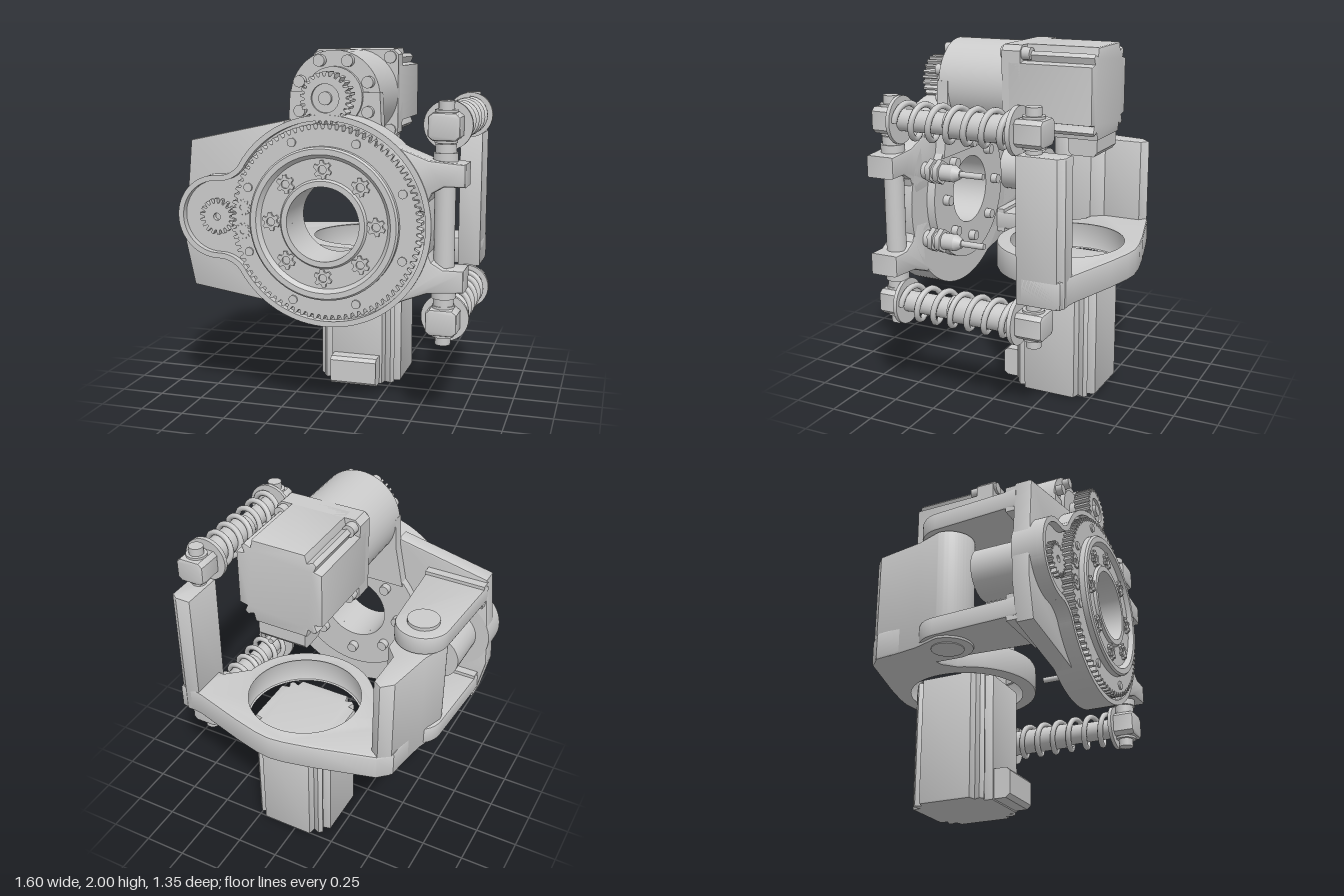
import * as THREE from 'three';
import { toCreasedNormals } from 'three/addons/utils/BufferGeometryUtils.js';

const CX = 0.05, CY = 1.10, RX = 0.67;      // ring axis and strut axis
const mat = new THREE.MeshStandardMaterial({ color: 0xcccccc, side: THREE.DoubleSide });

export function createModel() {
  const root = new THREE.Group();
  const add = (name, geo, x = 0, y = 0, z = 0, parent = root) => {
    const m = new THREE.Mesh(geo, mat);
    m.name = name;
    m.position.set(x, y, z);
    parent.add(m);
    return m;
  };
  const poly = pts => new THREE.Shape(pts.map(p => new THREE.Vector2(...p)));
  const bore = (shape, x, y, r) => {
    shape.holes.push(new THREE.Path().absarc(x, y, r, 0, Math.PI * 2, true));
    return shape;
  };
  // Extrusion along z from z0 to z1, with an optional bevel kept inside that depth
  const plate = (shape, z0, z1, b = 0) => {
    const g = new THREE.ExtrudeGeometry(shape, {
      depth: z1 - z0 - 2 * b, bevelEnabled: b > 0, bevelSize: b, bevelOffset: -b,
      bevelThickness: b, bevelSegments: 2, curveSegments: 40 });
    return toCreasedNormals(g.translate(0, 0, z0 + b), 0.6);
  };
  // Extrusion along y; the shape is drawn as (x, -z)
  const slab = (shape, y0, y1, b = 0) => plate(shape, y0, y1, b).rotateX(-Math.PI / 2);
  const cylY = (r, h, n = 28) => new THREE.CylinderGeometry(r, r, h, n);
  const cylZ = (r, z0, z1, n = 28) => cylY(r, z1 - z0, n).rotateX(Math.PI / 2).translate(0, 0, (z0 + z1) / 2);
  const box = (w, h, d) => new THREE.BoxGeometry(w, h, d);
  const gear = (r, teeth, depth, z0, z1, hole) => {
    const pts = [];
    for (let i = 0; i < teeth; i++)
      [[0, -depth], [0.3, -depth], [0.45, 0], [0.8, 0]].forEach(([f, d]) => {
        const a = (i + f) / teeth * Math.PI * 2;
        pts.push([(r + d) * Math.cos(a), (r + d) * Math.sin(a)]);
      });
    return plate(bore(poly(pts), 0, 0, hole), z0, z1);
  };
  const around = (n, r, a0, fn) => {
    for (let i = 0; i < n; i++) {
      const a = a0 + i / n * Math.PI * 2;
      fn(r * Math.cos(a), r * Math.sin(a), a);
    }
  };

  // Housing outline: large ring blended by fillets into a side lobe, inset by d
  const outline = d => {
    const R = 0.57 - d, r = 0.23 - d, f = 0.15 + d, lx = -0.57;
    const fx = -0.56, fy = 0.38;
    const a = Math.atan2(fy, fx - CX), b = Math.atan2(fy, fx - lx);
    const s = new THREE.Shape();
    s.absarc(CX, CY, R, -a, a, false);
    s.absarc(fx, CY + fy, f, a - Math.PI, b - Math.PI, true);
    s.absarc(lx, CY, r, b, Math.PI * 2 - b, false);
    s.absarc(fx, CY - fy, f, Math.PI - b, Math.PI - a, true);
    return s;
  };
  add('housing', plate(bore(outline(0), CX, CY, 0.2), 0.43, 0.57));
  const lip = outline(0);
  lip.holes.push(new THREE.Path(outline(0.03).getPoints(40)));
  add('housingRim', plate(lip, 0.57, 0.61));
  add('sidePlate', plate(poly([[-0.75, 1.51], [-0.79, 1.1], [-0.8, 0.93], [-0.75, 0.69], [-0.25, 0.615],
    [-0.25, 1.1], [-0.2, 1.63]].reverse()), 0.43, 0.53, 0.01));

  // Forked ears that hold the strut rod
  for (const s of [1, -1])
    add('ear', plate(poly([[0.32, 0.48], [0.47, 0.40], [0.6, 0.35], [0.79, 0.335], [0.79, 0.215], [0.68, 0.215],
      [0.62, 0.18], [0.58, 0.08], [0.35, 0.1]].map(([x, y]) => [x, CY + s * y])), 0.43, 0.6, 0.015));

  // Ring gear, bearing flange and bolts
  add('ringGear', gear(0.525, 84, 0.025, 0.56, 0.63, 0.3), CX, CY);
  const profile = [[0.2, 0.38], [0.41, 0.38], [0.41, 0.66], [0.4, 0.67], [0.37, 0.67], [0.35, 0.645],
    [0.24, 0.645], [0.23, 0.66], [0.2, 0.66], [0.2, 0.38]].map(p => new THREE.Vector2(...p));
  add('bearingFlange', toCreasedNormals(new THREE.LatheGeometry(profile, 72).rotateX(Math.PI / 2), 0.5), CX, CY);
  around(8, 0.29, 0, (x, y) => {
    add('flangeBolt', gear(0.05, 6, 0.015, 0.64, 0.66, 0.022), CX + x, CY + y);
    add('boltSocket', cylZ(0.022, 0.63, 0.65, 6), CX + x, CY + y);
    add('rearBolt', cylZ(0.03, 0.34, 0.39, 12), CX + x, CY + y);
  });
  around(8, 0.46, Math.PI / 8, (x, y) => add('rimScrew', cylZ(0.024, 0.6, 0.64, 14), CX + x, CY + y));

  // Encoder gears in the lobe and the sensor behind it
  add('lobeGear', gear(0.1, 18, 0.025, 0.56, 0.6, 0.02), -0.575, CY);
  for (const s of [1, -1]) add('idlerGear', gear(0.045, 12, 0.01, 0.56, 0.635, 0.015), -0.41, CY + s * 0.065);
  add('sensorCan', cylZ(0.145, 0.155, 0.44), -0.575, CY);

  // Hinge arms above and below the yoke's hinge block
  const arm = () => {
    const s = new THREE.Shape();
    s.moveTo(-0.76, -0.44);
    s.lineTo(-0.39, -0.44);
    s.absarc(-0.575, 0.05, 0.155, 0.1, Math.PI - 0.1, false);
    return s;
  };
  for (const s of [1, -1]) {
    const y = CY + s * 0.32;
    add('hingeArm', slab(arm(), y - 0.055, y + 0.055, 0.012));
    add('hingePin', cylY(0.09, 0.13), -0.575, y + s * 0.01, -0.05);
    add('armGusset', box(0.36, 0.15, 0.06), -0.575, y, 0.41);
  }

  // Yoke: base with a round opening, hinge block and tall post
  const base = poly([[-0.5, 0.2], [-0.66, 0.15], [-0.62, 0.47], [-0.55, 0.54], [-0.2, 0.635], [-0.04, 0.67],
    [0.05, 0.68], [0.14, 0.67], [0.3, 0.63], [0.6, 0.54], [0.74, 0.52], [0.74, 0.3], [0.58, 0.31], [0.48, 0.22]]);
  base.absarc(CX, 0.26, 0.41, -0.15, -Math.PI + 0.35, true);
  base.lineTo(-0.4, 0.18);
  add('yokeBase', slab(bore(base, CX, 0.26, 0.345), 0.71, 0.87, 0.015));
  const block = new THREE.Shape();
  block.absarc(-0.575, 0.05, 0.14, Math.PI, Math.PI * 2, false);
  [[-0.44, 0.2], [-0.5, 0.27], [-0.5, 0.5], [-0.55, 0.535], [-0.61, 0.48], [-0.66, 0.2]].forEach(p => block.lineTo(...p));
  add('hingeBlock', slab(block, 0.71, 1.36, 0.01)).geometry.computeBoundingBox();
  add('hingeBlockLower', cylY(0.14, 0.1), -0.575, 0.78, -0.05);
  add('yokePost', slab(poly([[0.61, 0.27], [0.74, 0.27], [0.74, 0.5], [0.7, 0.53], [0.61, 0.53]]), 0.71, 1.51, 0.01));

  // Motor body along local z, with a raised pad on each side and a plug at the rear
  const motor = (name, len) => {
    const g = new THREE.Group();
    g.name = name;
    const pts = [];
    for (let i = 0; i < 4; i++)
      [[0.25, -0.155], [0.25, 0.155], [0.205, 0.165], [0.22, 0.2], [0.2, 0.22], [0.165, 0.205]].forEach(([x, y]) => {
        const c = Math.round(Math.cos(i * Math.PI / 2)), s = Math.round(Math.sin(i * Math.PI / 2));
        pts.push([x * c - y * s, x * s + y * c]);
      });
    add('motorBody', plate(poly(pts), 0, len, 0.012), 0, 0, 0, g);
    const plug = poly([[-0.2, 0], [-0.33, 0], [-0.345, 0.03], [-0.345, 0.16], [-0.32, 0.18], [-0.2, 0.18]]);
    add('motorPlug', plate(plug, -0.14, 0.14).rotateY(Math.PI / 2).scale(1, 1, -1).rotateZ(0), 0, 0, 0, g)
      .geometry.copy(plugGeometry());
    root.add(g);
    return g;
  };
  // Plug: rounded block protruding towards local -y
  const plugGeometry = () => {
    const s = poly([[0.01, 0.2], [0.01, 0.32], [0.03, 0.345], [0.16, 0.345], [0.18, 0.325], [0.18, 0.2]]);
    return plate(s, -0.14, 0.14).applyMatrix4(new THREE.Matrix4().set(
      0, 0, 1, 0, 0, -1, 0, 0, 1, 0, 0, 0, 0, 0, 0, 1));
  };
  const upper = motor('upperMotor', 0.5);
  upper.position.set(CX, 1.75, -0.5);
  const lower = motor('lowerMotor', 0.74);
  lower.position.set(CX, 0, -0.26);
  lower.rotation.x = -Math.PI / 2;

  // Upper gearbox with flange, mount and drive pinion
  add('motorFlange', plate(poly([[-0.25, -0.22], [-0.22, -0.25], [0.22, -0.25], [0.25, -0.22], [0.25, 0.22],
    [0.22, 0.25], [-0.22, 0.25], [-0.25, 0.22]]), -0.08, 0.03), CX, 1.75);
  for (const x of [-0.205, 0.205]) for (const y of [-0.205, 0.205])
    add('flangeScrew', cylZ(0.035, -0.13, 0.045, 14), CX + x, 1.75 + y);
  add('gearbox', cylZ(0.25, 0.02, 0.43, 48), CX, 1.75);
  add('gearboxMount', plate(poly([[-0.2, 1.78], [-0.21, 1.6], [-0.26, 1.35], [0.36, 1.35], [0.31, 1.6], [0.3, 1.78]]
    .reverse()), 0.37, 0.44));
  around(8, 0.205, Math.PI / 8, (x, y) => add('gearboxScrew', cylZ(0.032, 0.42, 0.47, 14), CX + x, 1.755 + y));
  add('gearboxCollar', cylZ(0.16, 0.42, 0.46), CX, 1.755);
  add('pinion', gear(0.137, 24, 0.022, 0.51, 0.605, 0.075), CX, 1.755);
  add('pinionHub', cylZ(0.08, 0.43, 0.59), CX, 1.755);
  add('pinionShaft', cylZ(0.035, 0.5, 0.61), CX, 1.755);

  // Spring struts, upper and lower
  class Helix extends THREE.Curve {
    getPoint(t, v = new THREE.Vector3()) {
      const a = t * Math.PI * 12.5;
      return v.set(0.092 * Math.cos(a), 0.092 * Math.sin(a), 0.43 - 0.65 * t);
    }
  }
  const coil = new THREE.TubeGeometry(new Helix(), 200, 0.017, 8);
  for (const [y, s] of [[1.62, 1], [0.59, -1]]) {
    const strut = new THREE.Group();
    strut.name = s > 0 ? 'upperStrut' : 'lowerStrut';
    strut.position.set(RX, y, 0);
    root.add(strut);
    const part = (name, geo, dy = 0, z = 0) => add(name, geo, 0, dy, z, strut);
    part('spring', coil);
    part('damperBody', cylZ(0.075, -0.25, 0.15));
    part('damperRod', cylZ(0.06, 0.1, 0.45));
    part('frontSeat', cylZ(0.13, 0.437, 0.458, 36));
    part('rearSeat', cylZ(0.13, -0.265, -0.24, 36));
    for (const [z0, z1, zp] of [[0.45, 0.58, 0.505], [-0.42, -0.26, -0.34]]) {
      part('rodEnd', plate(poly([[-0.085, -0.05], [-0.06, -0.072], [0.06, -0.072], [0.085, -0.05], [0.085, 0.05],
        [0.06, 0.072], [-0.06, 0.072], [-0.085, 0.05]]), z0, z1, 0.015));
      part('rodEndBolt', cylY(0.042, 0.26, 18), 0, zp);
      part('rodEndWasher', cylY(0.06, 0.17, 24), 0, zp);
    }
  }
  // Vertical rod through the ears
  add('earRod', cylY(0.055, 0.86), RX, CY, 0.505);
  for (const s of [1, -1]) add('earCollar', cylY(0.065, 0.05), RX, CY + s * 0.36, 0.505);

  // Cable fittings behind the housing
  for (const y of [CY + 0.2, CY - 0.2]) {
    add('cableFitting', cylZ(0.048, 0.24, 0.44, 20), 0.47, y);
    add('cableTip', new THREE.CylinderGeometry(0.048, 0.025, 0.04, 20).rotateX(Math.PI / 2), 0.47, y, 0.22);
    for (const z of [0.33, 0.38]) add('cableNut', cylZ(0.07, z - 0.015, z + 0.015, 6), 0.47, y);
    add('cable', cylZ(0.018, 0.06, 0.22, 12), 0.47, y);
  }
  return root;
}
